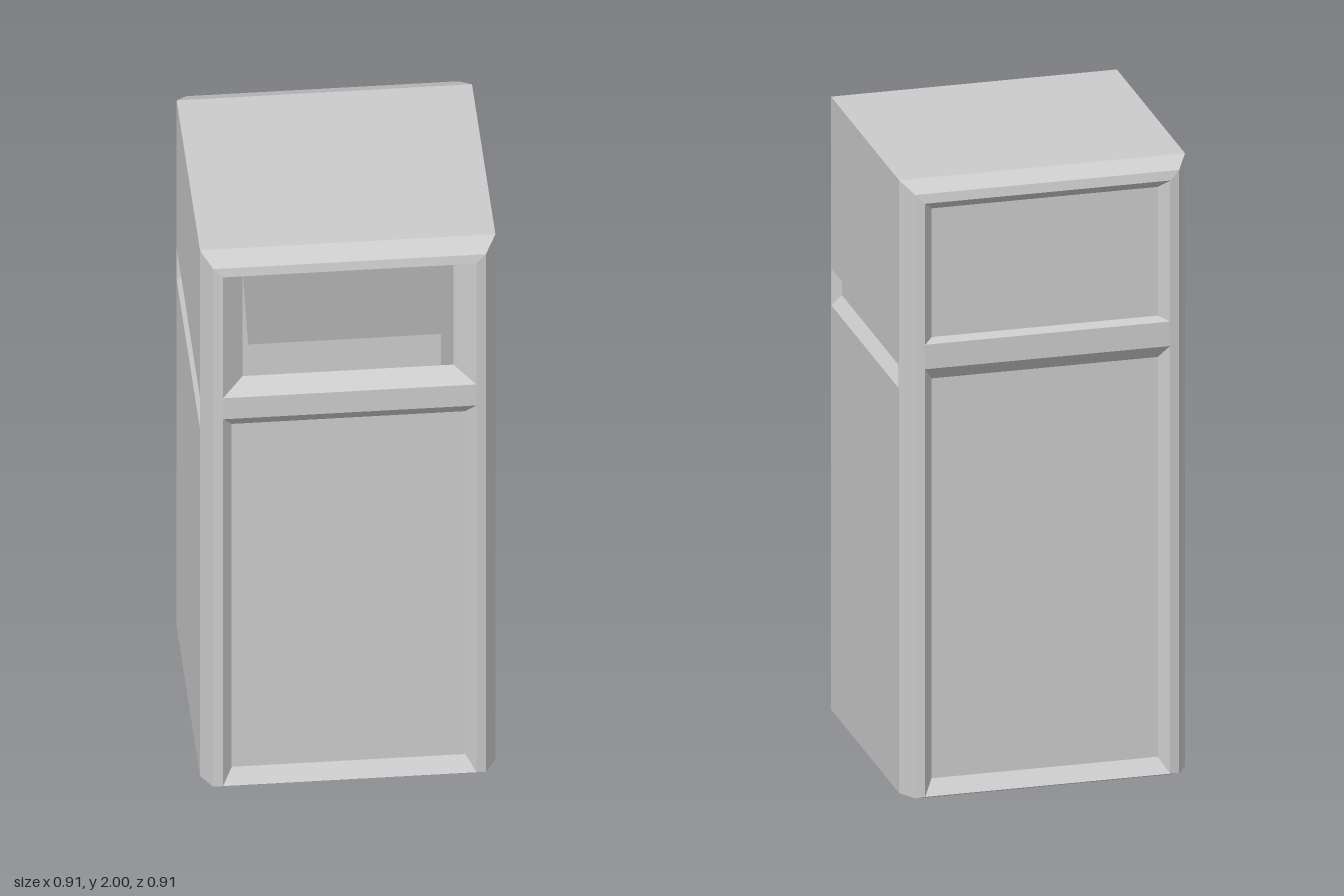
import * as THREE from 'three';

const material = new THREE.MeshStandardMaterial({ color: 0xcccccc, flatShading: true });
const thin = new THREE.MeshStandardMaterial({ color: 0xcccccc, flatShading: true, side: THREE.DoubleSide });

// Rectangle as a loop of corners, counter-clockwise seen from +z
const rect = (x, y0, y1, z) => [[-x, y0, z], [x, y0, z], [x, y1, z], [-x, y1, z]];

function quads(name, list, mat = material) {
  const pos = [];
  for (const [a, b, c, d] of list) pos.push(...a, ...b, ...c, ...a, ...c, ...d);
  const geo = new THREE.BufferGeometry();
  geo.setAttribute('position', new THREE.Float32BufferAttribute(pos, 3));
  geo.computeVertexNormals();
  const mesh = new THREE.Mesh(geo, mat);
  mesh.name = name;
  return mesh;
}

// Walls between successive loops, optionally closed by the last loop
function loft(name, loops, closed = false) {
  const list = [];
  for (let k = 0; k + 1 < loops.length; k++) {
    const A = loops[k], B = loops[k + 1];
    for (let i = 0; i < 4; i++) {
      const j = (i + 1) % 4;
      list.push([A[i], A[j], B[j], B[i]]);
    }
  }
  if (closed) list.push(loops[loops.length - 1]);
  return quads(name, list);
}

// Flat plate facing +z with rectangular holes [halfWidth, y0, y1]
function plate(name, x, y1, z, holes) {
  const points = (w, a, b) => rect(w, a, b, 0).map(p => new THREE.Vector2(p[0], p[1]));
  const shape = new THREE.Shape(points(x, 0, y1));
  for (const h of holes) shape.holes.push(new THREE.Path(points(...h).reverse()));
  const mesh = new THREE.Mesh(new THREE.ShapeGeometry(shape), material);
  mesh.name = name;
  mesh.geometry.translate(0, 0, z);
  return mesh;
}

const UPPER = [0.39, 1.48, 1.94], LOWER = [0.39, 0.004, 1.4], SLOT = [0.385, 1.32, 1.44];

// Chamfered frame with two openings and the recessed lower panel
function endFrame(name) {
  const group = new THREE.Group();
  group.name = name;
  const face = plate('frame', 0.42, 1.97, 0.455, [UPPER, LOWER]);
  // the outer rim of the frame sits slightly further back
  const p = face.geometry.attributes.position;
  for (let i = 0; i < p.count; i++) {
    if (Math.abs(p.getX(i)) > 0.4) p.setZ(i, 0.45);
  }
  group.add(
    face,
    loft('edgeChamfer', [rect(0.455, 0, 2, 0.39), rect(0.42, 0, 1.97, 0.45)]),
    loft('lowerPanel', [rect(...LOWER, 0.455), rect(0.36, 0.05, 1.355, 0.42)], true)
  );
  return group;
}

export function createModel() {
  const model = new THREE.Group();
  model.name = 'litterBin';

  // Front with the open mouth, back with a closed upper panel
  const front = endFrame('front');
  front.add(
    loft('mouth', [rect(...UPPER, 0.455), rect(0.325, 1.52, 1.91, 0.4)]),
    quads('flap', [[[-0.3, 1.58, 0.32], [0.325, 1.58, 0.32], [0.325, 1.91, 0.41], [-0.325, 1.91, 0.41]]], thin)
  );
  const back = endFrame('back');
  back.add(loft('upperPanel', [rect(...UPPER, 0.455), rect(0.36, 1.49, 1.91, 0.42)], true));
  back.rotation.y = Math.PI;
  model.add(front, back);

  // Sides with a bevelled handle slot
  for (const s of [-1, 1]) {
    const side = new THREE.Group();
    side.name = s > 0 ? 'leftSide' : 'rightSide';
    side.add(
      plate('sidePanel', 0.39, 2, 0.455, [SLOT]),
      loft('handleSlot', [rect(...SLOT, 0.455), rect(0.375, 1.355, 1.407, 0.425)], true)
    );
    side.rotation.y = s * Math.PI / 2;
    model.add(side);
  }

  // Top and base
  const w = 0.455, d = 0.39;
  model.add(
    quads('top', [[[-w, 2, d], [w, 2, d], [w, 2, -d], [-w, 2, -d]]]),
    quads('base', [[[-w, 0, -d], [w, 0, -d], [w, 0, d], [-w, 0, d]]])
  );

  // Inner walls behind the mouth
  model.add(loft('interior', [rect(0.36, 0.06, 1.95, 0.4), rect(0.36, 0.06, 1.95, -0.4)], true));

  return model;
}
